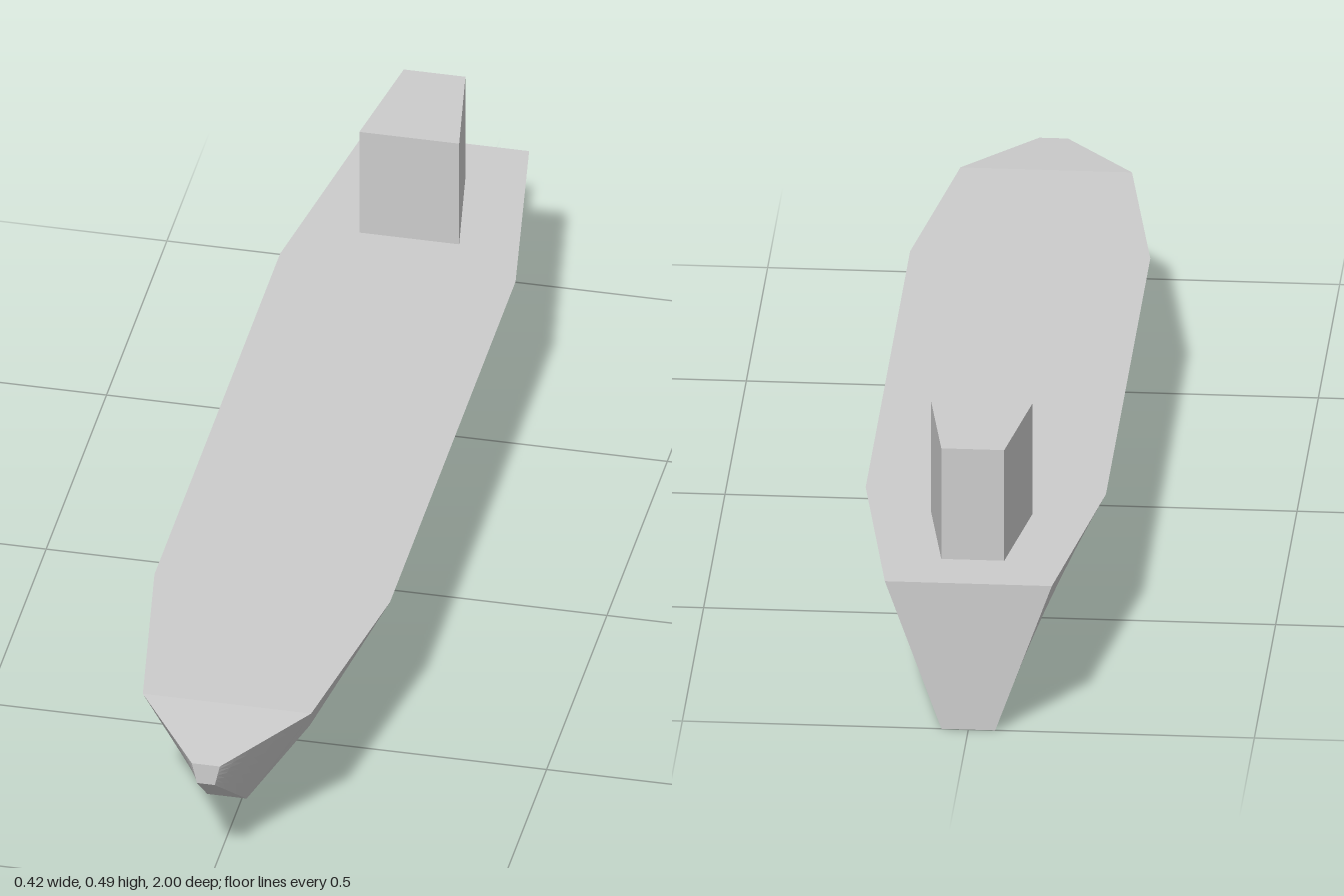
import * as THREE from 'three';

const STEPS = 6; // subdivisions that keep the twisted panels even

// Section: [z, bottom half width, bottom y, top half width, top y]
function ring([z, wb, yb, wt, yt]) {
  const corners = [[-wb, yb], [wb, yb], [wt, yt], [-wt, yt]];
  return corners.flatMap(([x, y], i) => {
    const [nx, ny] = corners[(i + 1) % 4];
    return Array.from({ length: STEPS }, (_, k) => {
      const t = k / STEPS;
      return new THREE.Vector3(x + (nx - x) * t, y + (ny - y) * t, z);
    });
  });
}

// Closed solid through four-sided sections, ordered from back to front
function loft(sections) {
  const pos = [];
  const tri = (...points) => points.forEach((p) => pos.push(p.x, p.y, p.z));
  const rings = [ring(sections[0])];
  for (let s = 1; s < sections.length; s++) {
    for (let k = 1; k <= STEPS; k++) {
      rings.push(ring(sections[s].map((v, i) => THREE.MathUtils.lerp(sections[s - 1][i], v, k / STEPS))));
    }
  }
  const n = rings[0].length;
  for (let r = 0; r < rings.length - 1; r++) {
    for (let j = 0; j < n; j++) {
      const k = (j + 1) % n;
      const a = rings[r][j], b = rings[r][k], c = rings[r + 1][k], d = rings[r + 1][j];
      tri(a, b, c);
      tri(a, c, d);
    }
  }
  // End caps
  const corner = (r, i) => r[i * STEPS];
  const back = rings[0], front = rings[rings.length - 1];
  tri(corner(front, 0), corner(front, 1), corner(front, 2));
  tri(corner(front, 0), corner(front, 2), corner(front, 3));
  tri(corner(back, 0), corner(back, 2), corner(back, 1));
  tri(corner(back, 0), corner(back, 3), corner(back, 2));

  const geometry = new THREE.BufferGeometry();
  geometry.setAttribute('position', new THREE.Float32BufferAttribute(pos, 3));
  geometry.computeVertexNormals();
  return geometry;
}

export function createModel() {
  const model = new THREE.Group();
  model.name = 'cargoShip';
  const material = new THREE.MeshStandardMaterial({ color: 0xcccccc, flatShading: true });
  const add = (name, sections) => {
    const mesh = new THREE.Mesh(loft(sections), material);
    mesh.name = name;
    model.add(mesh);
  };

  // Hull: flared sides, tapered stern, raked blunt bow
  add('hull', [
    [-1, 0.047, 0, 0.146, 0.277],
    [-0.59, 0.067, 0, 0.21, 0.277],
    [0.45, 0.067, 0, 0.21, 0.277],
    [0.825, 0.035, 0.084, 0.15, 0.277],
    [1, 0.016, 0.222, 0.025, 0.262],
  ]);

  // Bridge tower: wedge-shaped in plan, narrower towards the stern
  add('bridgeTower', [
    [-0.895, 0.055, 0.277, 0.055, 0.487],
    [-0.685, 0.089, 0.277, 0.089, 0.487],
  ]);
  return model;
}
